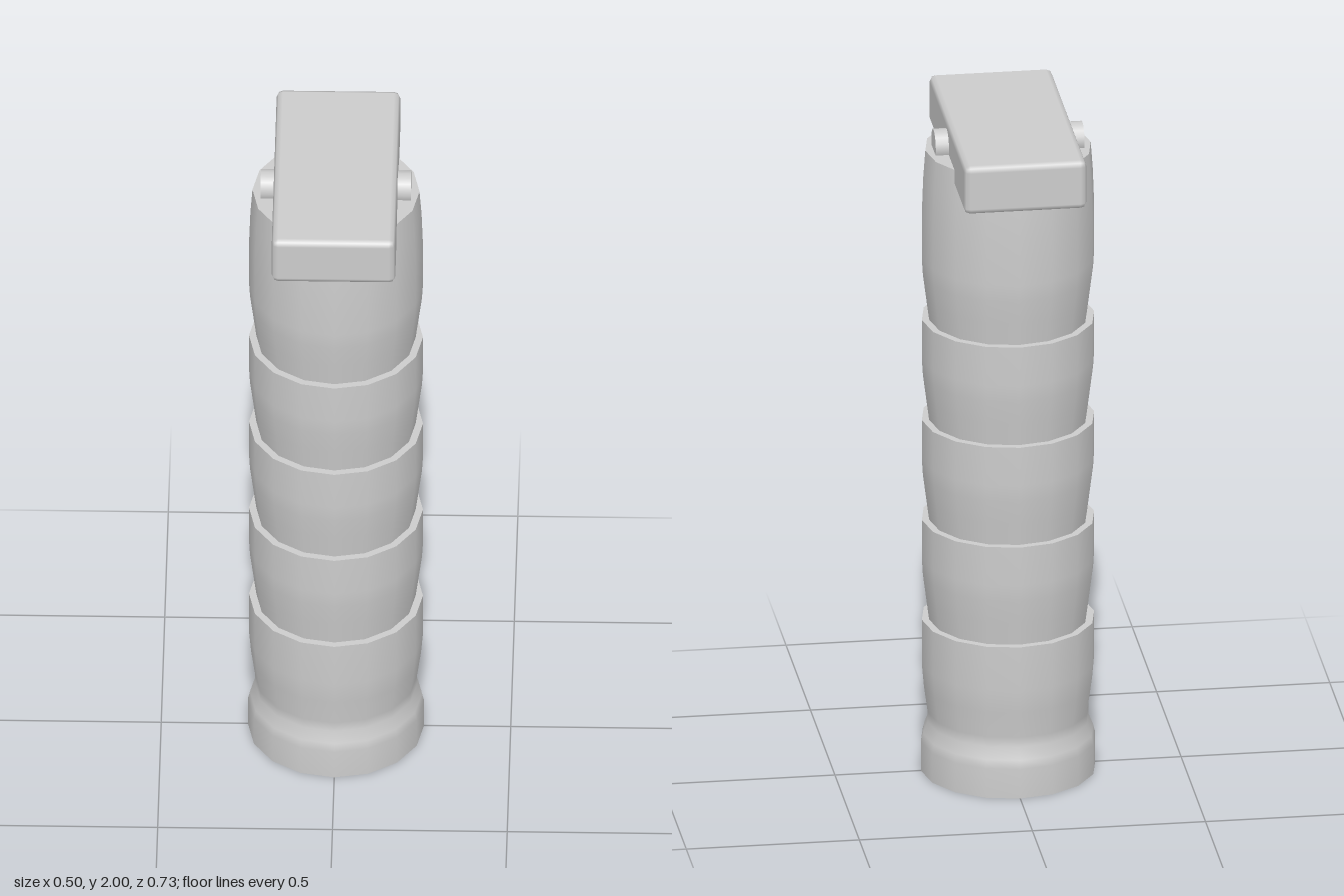
import * as THREE from 'three';
import { RoundedBoxGeometry } from 'three/addons/geometries/RoundedBoxGeometry.js';

const SIDES = 16;

export function createModel() {
  const model = new THREE.Group();
  model.name = 'verticalGrip';
  const grey = new THREE.MeshStandardMaterial({ color: 0xcccccc });
  grey.name = 'grey';

  const add = (geometry, name) => {
    const mesh = new THREE.Mesh(geometry, grey);
    mesh.name = name;
    model.add(mesh);
    return mesh;
  };
  // Turned surface from [radius, height] pairs, listed bottom to top
  const turned = (name, profile) =>
    add(new THREE.LatheGeometry(profile.map(([r, y]) => new THREE.Vector2(r, y)), SIDES), name);

  // Flared foot and lowest grip section, with a flat underside
  turned('footUnderside', [[0, 0], [0.252, 0]]);
  turned('foot', [
    [0.252, 0], [0.252, 0.09], [0.246, 0.115], [0.232, 0.15], [0.232, 0.18],
    [0.243, 0.26], [0.249, 0.33], [0.249, 0.465],
  ]);

  // Stacked finger sections, each narrow at its lower end
  const ledges = [0.465, 0.773, 1.081, 1.39];
  for (let i = 0; i < 3; i++) {
    const y = ledges[i];
    turned('gripSection', [
      [0.228, y], [0.237, y + 0.07], [0.246, y + 0.14], [0.249, y + 0.19], [0.249, ledges[i + 1]],
    ]);
  }

  // Flat ledges between the sections
  for (const y of ledges) turned('ledge', [[0.249, y], [0.225, y]]);

  // Tall upper section, tapering a little to its flat top
  turned('upperSection', [
    [0.228, 1.39], [0.237, 1.46], [0.246, 1.53], [0.249, 1.58],
    [0.249, 1.72], [0.245, 1.83], [0.239, 1.912],
  ]);
  turned('gripTop', [[0.239, 1.912], [0, 1.912]]);

  // Bevelled clamp block across the top
  add(new RoundedBoxGeometry(0.354, 0.147, 0.734, 1, 0.018), 'clampBlock').position.y = 1.9265;

  // Cross pin showing on both sides of the clamp
  const pin = add(new THREE.CylinderGeometry(0.046, 0.046, 0.43, SIDES), 'crossPin');
  pin.rotation.z = Math.PI / 2;
  pin.position.y = 1.929;

  return model;
}
